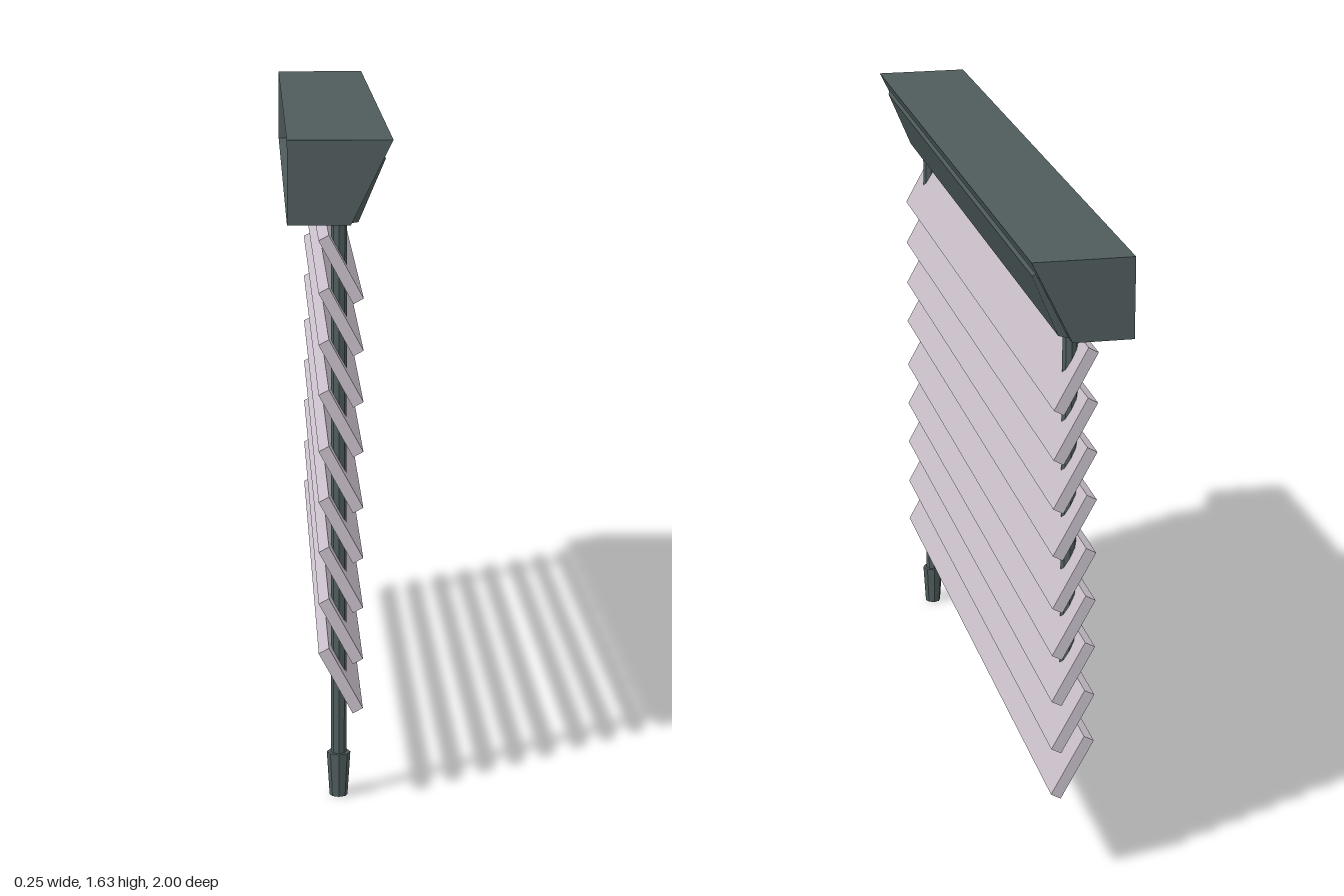
import * as THREE from 'three';

const frameMat = new THREE.MeshStandardMaterial({ color: 0x4f5c5c, flatShading: true, side: THREE.DoubleSide });
frameMat.name = 'dark slate';
const slatMat = new THREE.MeshStandardMaterial({ color: 0xc8bfca, flatShading: true });
slatMat.name = 'pale lilac';

// Geometry from four-cornered faces, each listed counter-clockwise from outside
function quads(faces) {
  const pos = [];
  for (const [a, b, c, d] of faces) pos.push(...a, ...b, ...c, ...a, ...c, ...d);
  const geo = new THREE.BufferGeometry();
  geo.setAttribute('position', new THREE.Float32BufferAttribute(pos, 3));
  geo.computeVertexNormals();
  return geo;
}

export function createModel() {
  const model = new THREE.Group();
  model.name = 'windowBlind';
  const add = (name, geo, mat, x, y, z) => {
    const mesh = new THREE.Mesh(geo, mat);
    mesh.name = name;
    mesh.position.set(x, y, z);
    model.add(mesh);
    return mesh;
  };

  // Head box: thin shell, open at the back (-x), with a raised sloping panel
  const at = (x, y) => (z) => [x, y, z];
  const A = at(-0.125, 1.63), B = at(0.123, 1.63), C = at(0.024, 1.43), D = at(-0.125, 1.43);
  const S = at(0.103, 1.59), E = at(0.044, 1.43), F = at(0.108, 1.58);
  const o = 0.96, i = 0.94;
  add('headBox', quads([
    [A(-1), A(1), B(1), B(-1)],        // top
    [D(-1), C(-1), C(1), D(1)],        // bottom
    [C(-o), E(-i), E(i), C(o)],        // bottom of the raised panel
    [D(1), C(1), B(1), A(1)],          // ends
    [A(-1), B(-1), C(-1), D(-1)],
    [S(1), S(-1), B(-1), B(1)],        // rim around the panel
    [C(1), C(o), S(o), S(1)],
    [C(-o), C(-1), S(-1), S(-o)],
    [F(i), F(-i), S(-o), S(o)],        // bevels
    [C(o), E(i), F(i), S(o)],
    [E(-i), C(-o), S(-o), F(-i)],
    [E(i), E(-i), F(-i), F(i)],        // panel
  ]), frameMat, 0, 0, 0);

  // Tilted slats
  const slatGeo = new THREE.BoxGeometry(0.028, 0.172, 1.91);
  const heights = [1.319, 1.194, 1.07, 0.949, 0.812, 0.688, 0.565, 0.437, 0.313];
  for (const y of heights) add('slat', slatGeo, slatMat, 0.003, y, 0).rotation.z = 0.5;

  // Rods: the one on the +z side is long and ends in a handle
  const rod = (name, bottom, z) => {
    const top = 1.52;
    add(name, new THREE.CylinderGeometry(0.019, 0.019, top - bottom, 8), frameMat, 0, (top + bottom) / 2, z);
  };
  rod('longRod', 0.1, 0.877);
  rod('shortRod', 0.54, -0.877);
  add('handle', new THREE.CylinderGeometry(0.029, 0.022, 0.11, 8), frameMat, 0, 0.055, 0.877);

  return model;
}
